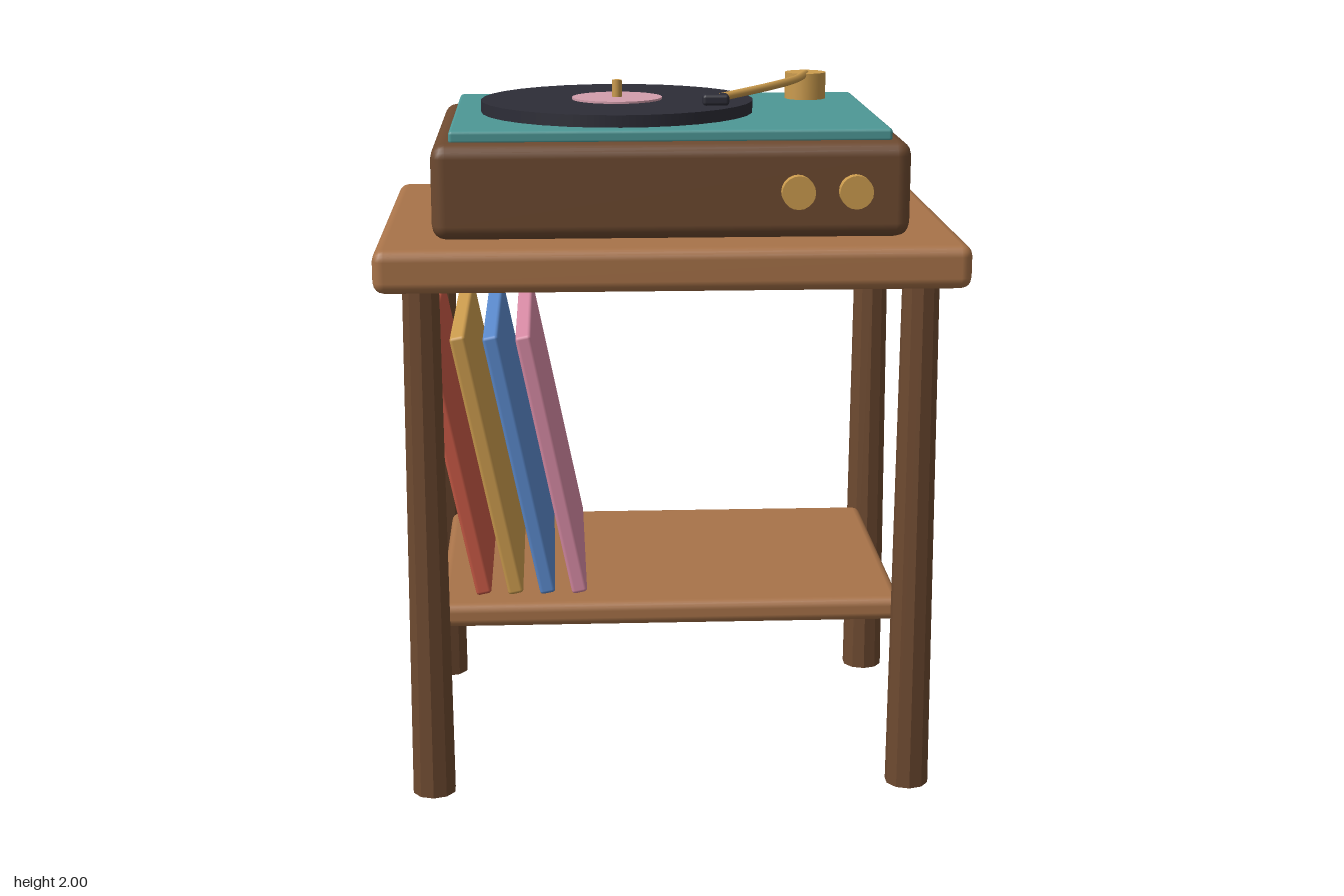
import * as THREE from 'three';
import { RoundedBoxGeometry } from 'three/addons/geometries/RoundedBoxGeometry.js';

const paint = (name, color) => {
  const m = new THREE.MeshStandardMaterial({ color });
  m.name = name;
  return m;
};

export function createModel() {
  const lightWood = paint('light wood', 0xa87349);
  const darkWood = paint('dark wood', 0x6e4a30);
  const teal = paint('teal', 0x4d9896);
  const charcoal = paint('charcoal', 0x2d2d37);
  const brass = paint('brass', 0xcc9c4e);
  const pink = paint('pink', 0xd88ba5);
  const palePink = paint('pale pink', 0xd39eac);
  const blue = paint('blue', 0x5b8acd);
  const red = paint('red', 0xc95a46);

  const model = new THREE.Group();
  model.name = 'recordPlayerStand';

  const add = (parent, name, geometry, material, x, y, z) => {
    const mesh = new THREE.Mesh(geometry, material);
    mesh.name = name;
    mesh.position.set(x, y, z);
    parent.add(mesh);
    return mesh;
  };
  const slab = (w, h, d, r) => new RoundedBoxGeometry(w, h, d, 2, r);
  const disc = (r, h, sides = 32) => new THREE.CylinderGeometry(r, r, h, sides);

  // Table: top, shelf and four faceted, tapering legs
  const table = new THREE.Group();
  table.name = 'table';
  model.add(table);
  add(table, 'tableTop', slab(1.626, 0.122, 1.21, 0.032), lightWood, 0, 1.551, 0);
  add(table, 'shelf', slab(1.33, 0.07, 0.91, 0.025), lightWood, 0, 0.521, 0);
  const legGeometry = new THREE.CylinderGeometry(0.052, 0.063, 1.5, 10).toNonIndexed();
  legGeometry.computeVertexNormals();
  for (const x of [-0.69, 0.69]) {
    for (const z of [-0.48, 0.48]) add(table, 'leg', legGeometry, darkWood, x, 0.75, z);
  }

  // Record sleeves leaning on the shelf
  const sleeves = new THREE.Group();
  sleeves.name = 'sleeves';
  model.add(sleeves);
  const sleeveGeometry = slab(0.045, 0.778, 0.79, 0.01);
  [red, brass, blue, pink].forEach((material, i) => {
    const sleeve = add(sleeves, 'sleeve', sleeveGeometry, material, -0.614 + i * 0.092, 0.947, 0);
    sleeve.rotation.z = 0.2;
  });

  // Player: plinth, deck plate and knobs
  const player = new THREE.Group();
  player.name = 'player';
  model.add(player);
  add(player, 'plinth', slab(1.312, 0.264, 0.996, 0.04), darkWood, 0, 1.748, 0);
  add(player, 'deckPlate', slab(1.214, 0.036, 0.896, 0.01), teal, 0, 1.893, 0);
  for (const x of [0.342, 0.5]) {
    add(player, 'knob', disc(0.046, 0.05, 20), brass, x, 1.748, 0.507).rotation.x = Math.PI / 2;
  }

  // Record with label and spindle
  add(player, 'record', disc(0.395, 0.034), charcoal, -0.135, 1.928, 0);
  add(player, 'label', disc(0.131, 0.008), palePink, -0.135, 1.947, 0);
  add(player, 'spindle', disc(0.014, 0.06, 12), brass, -0.135, 1.97, 0);

  // Tonearm: pivot post, curved arm and head
  add(player, 'tonearmPost', disc(0.062, 0.082, 20), brass, 0.447, 1.949, -0.29);
  const armPath = new THREE.CatmullRomCurve3([
    new THREE.Vector3(0.447, 1.985, -0.29),
    new THREE.Vector3(0.39, 1.987, -0.09),
    new THREE.Vector3(0.3, 1.982, 0.045),
    new THREE.Vector3(0.15, 1.965, 0.16),
  ]);
  add(player, 'tonearm', new THREE.TubeGeometry(armPath, 16, 0.012, 8), brass, 0, 0, 0);
  add(player, 'tonearmHead', slab(0.076, 0.032, 0.052, 0.01), charcoal, 0.14, 1.961, 0.17);

  return model;
}
